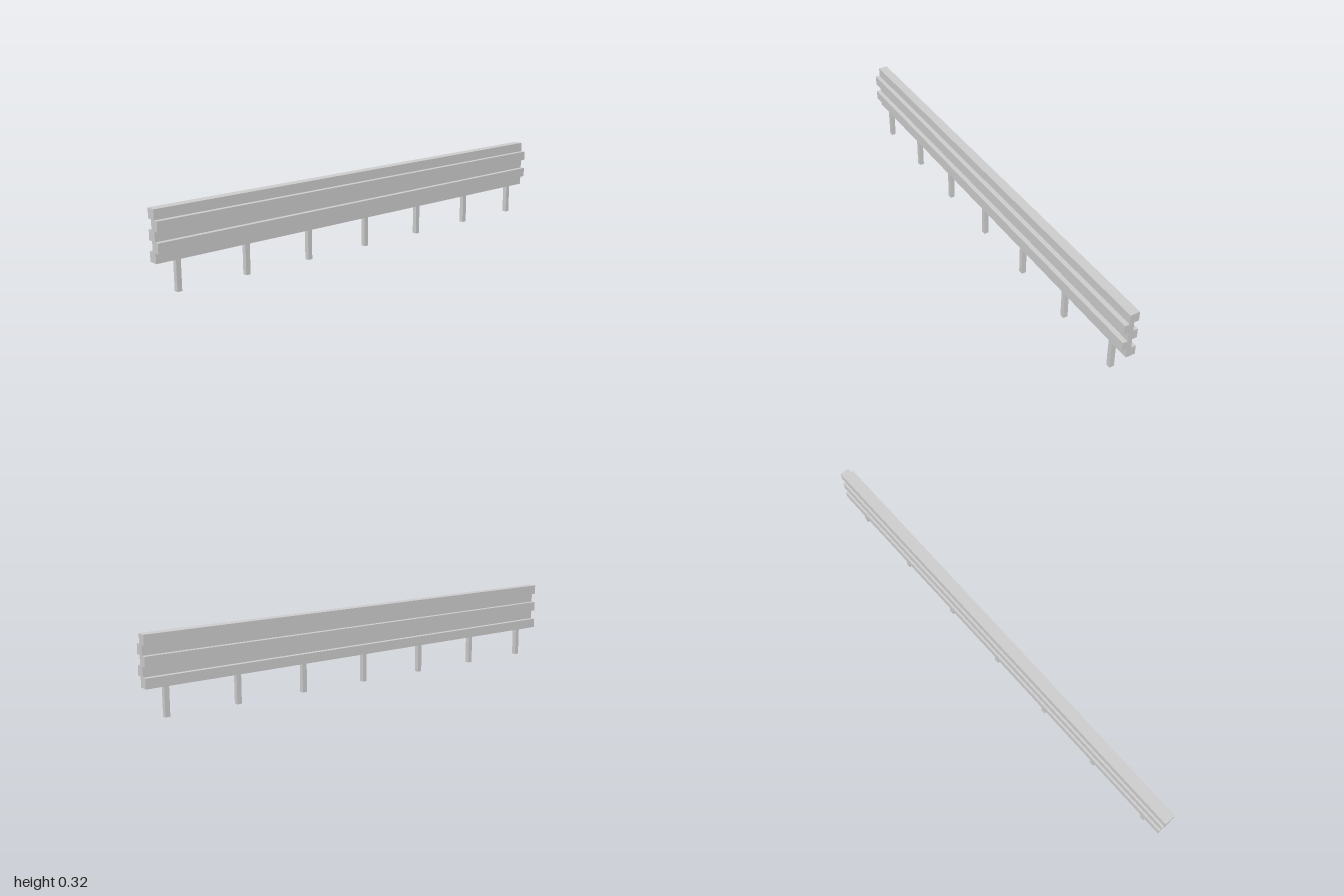
import * as THREE from 'three';

const LENGTH = 2, BOTTOM = 0.123, BAND = 0.0402, BANDS = 5;
const INNER = 0.01, OUTER = 0.03;
const POSTS = 7, POST_SPACING = 0.303, POST_SIZE = 0.02;

export function createModel() {
  const group = new THREE.Group();
  const material = new THREE.MeshStandardMaterial({ color: 0xcccccc, flatShading: true });

  // Barrier wall: bands staggered alternately to the back and the front
  const front = [], back = [];
  for (let i = 0; i < BANDS; i++) {
    const forward = i % 2 === 1;
    for (const y of [BOTTOM + i * BAND, BOTTOM + (i + 1) * BAND]) {
      front.push(new THREE.Vector2(forward ? -OUTER : -INNER, y));
      back.push(new THREE.Vector2(forward ? INNER : OUTER, y));
    }
  }
  // Profile is drawn with its x pointing to the back, then swept along the length
  const profile = new THREE.Shape([...back, ...front.reverse()]);
  const wallGeometry = new THREE.ExtrudeGeometry(profile, { depth: LENGTH, bevelEnabled: false });
  wallGeometry.translate(0, 0, -LENGTH / 2).rotateY(Math.PI / 2);
  const wall = new THREE.Mesh(wallGeometry, material);
  wall.name = 'staggeredWall';
  group.add(wall);

  // Evenly spaced square posts
  const postGeometry = new THREE.BoxGeometry(POST_SIZE, BOTTOM, POST_SIZE);
  for (let i = 0; i < POSTS; i++) {
    const post = new THREE.Mesh(postGeometry, material);
    post.name = `post${i + 1}`;
    post.position.set((i - (POSTS - 1) / 2) * POST_SPACING, BOTTOM / 2, 0);
    group.add(post);
  }
  return group;
}
